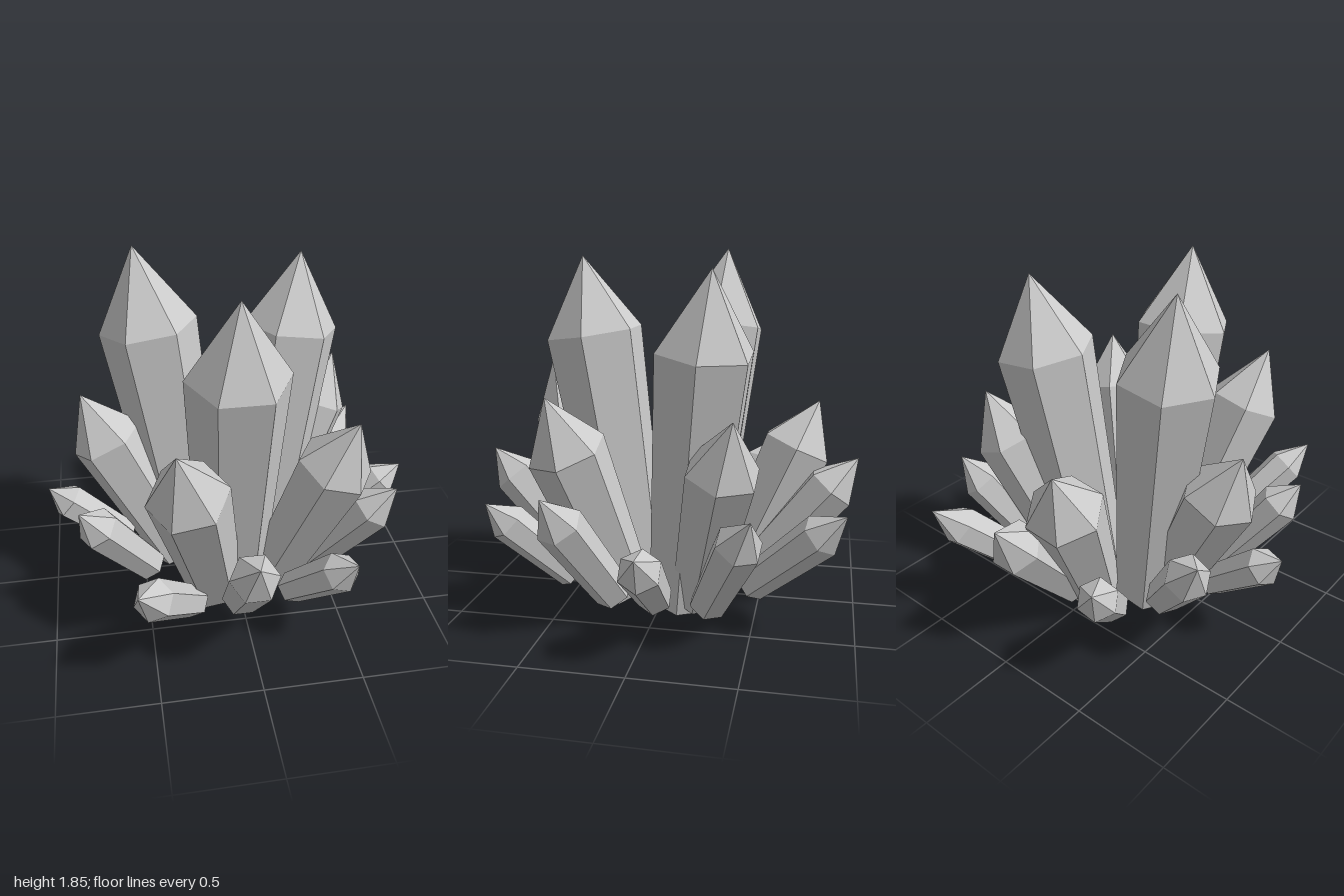
import * as THREE from 'three';

const material = new THREE.MeshStandardMaterial({ color: 0xcccccc, flatShading: true });
const UP = new THREE.Vector3(0, 1, 0);

// Six-sided shard: a shaft that widens upward, closed by a pointed cap
function crystal(name, base, tip, radius, taper, shoulder) {
  const from = new THREE.Vector3(...base);
  const axis = new THREE.Vector3(...tip).sub(from);
  const length = axis.length();
  const shaftLength = length * shoulder;
  const capLength = length - shaftLength;

  const group = new THREE.Group();
  group.name = name;
  // corners of the hexagon lie on the local x axis
  const shaft = new THREE.Mesh(
    new THREE.CylinderGeometry(radius, radius * taper, shaftLength, 6, 1, false, Math.PI / 6), material);
  shaft.name = 'shaft';
  shaft.position.y = shaftLength / 2;
  const cap = new THREE.Mesh(
    new THREE.ConeGeometry(radius, capLength, 6, 1, true, Math.PI / 6), material);
  cap.name = 'pointedCap';
  cap.position.y = shaftLength + capLength / 2;
  group.add(shaft, cap);

  group.position.copy(from);
  group.quaternion.setFromUnitVectors(UP, axis.normalize());
  return group;
}

// Each entry: base centre, tip, shoulder radius
const LARGE = [
  [[-0.20, 0.03, -0.10], [-0.46, 1.85, -0.25], 0.258],
  [[-0.03, 0.07, 0.20], [-0.03, 1.815, 0.465], 0.26],
  [[0.19, 0.045, -0.115], [0.415, 1.765, -0.285], 0.255],
];
const MEDIUM = [
  [[-0.14, 0.10, 0.30], [-0.365, 1.225, 0.755], 0.205],
  [[0.21, 0.09, 0.20], [0.55, 1.16, 0.495], 0.20],
  [[-0.30, 0.10, -0.05], [-0.78, 1.095, -0.14], 0.20],
  [[0.25, 0.09, -0.20], [0.66, 1.10, -0.42], 0.187],
  [[-0.03, 0.11, -0.36], [-0.18, 1.06, -0.785], 0.20],
];
const SMALL = [
  [[-0.03, 0.17, 0.51], [-0.03, 0.755, 1.0], 0.123],
  [[0.03, 0.16, -0.46], [0.0, 0.80, -0.995], 0.138],
  [[0.27, 0.18, -0.48], [0.54, 0.655, -0.94], 0.108],
  [[-0.26, 0.16, -0.47], [-0.50, 0.62, -0.89], 0.105],
  [[-0.42, 0.16, -0.25], [-0.81, 0.70, -0.52], 0.118],
  [[-0.59, 0.23, -0.045], [-0.995, 0.57, -0.07], 0.102],
  [[-0.48, 0.20, 0.20], [-0.825, 0.71, 0.39], 0.112],
  [[-0.28, 0.16, 0.49], [-0.575, 0.615, 0.94], 0.105],
  [[0.25, 0.16, 0.47], [0.48, 0.59, 0.85], 0.103],
  [[0.395, 0.13, 0.21], [0.79, 0.73, 0.45], 0.12],
  [[0.55, 0.19, -0.04], [0.99, 0.545, -0.04], 0.107],
  [[0.41, 0.12, -0.28], [0.80, 0.685, -0.52], 0.118],
];

export function createModel() {
  const model = new THREE.Group();
  model.name = 'crystalCluster';
  const addRing = (name, list, taper, shoulder) => list.forEach(([base, tip, radius], i) =>
    model.add(crystal(name + (i + 1), base, tip, radius, taper, shoulder)));
  addRing('largeCrystal', LARGE, 0.72, 0.77);
  addRing('mediumCrystal', MEDIUM, 0.74, 0.74);
  addRing('smallCrystal', SMALL, 0.82, 0.75);
  return model;
}
